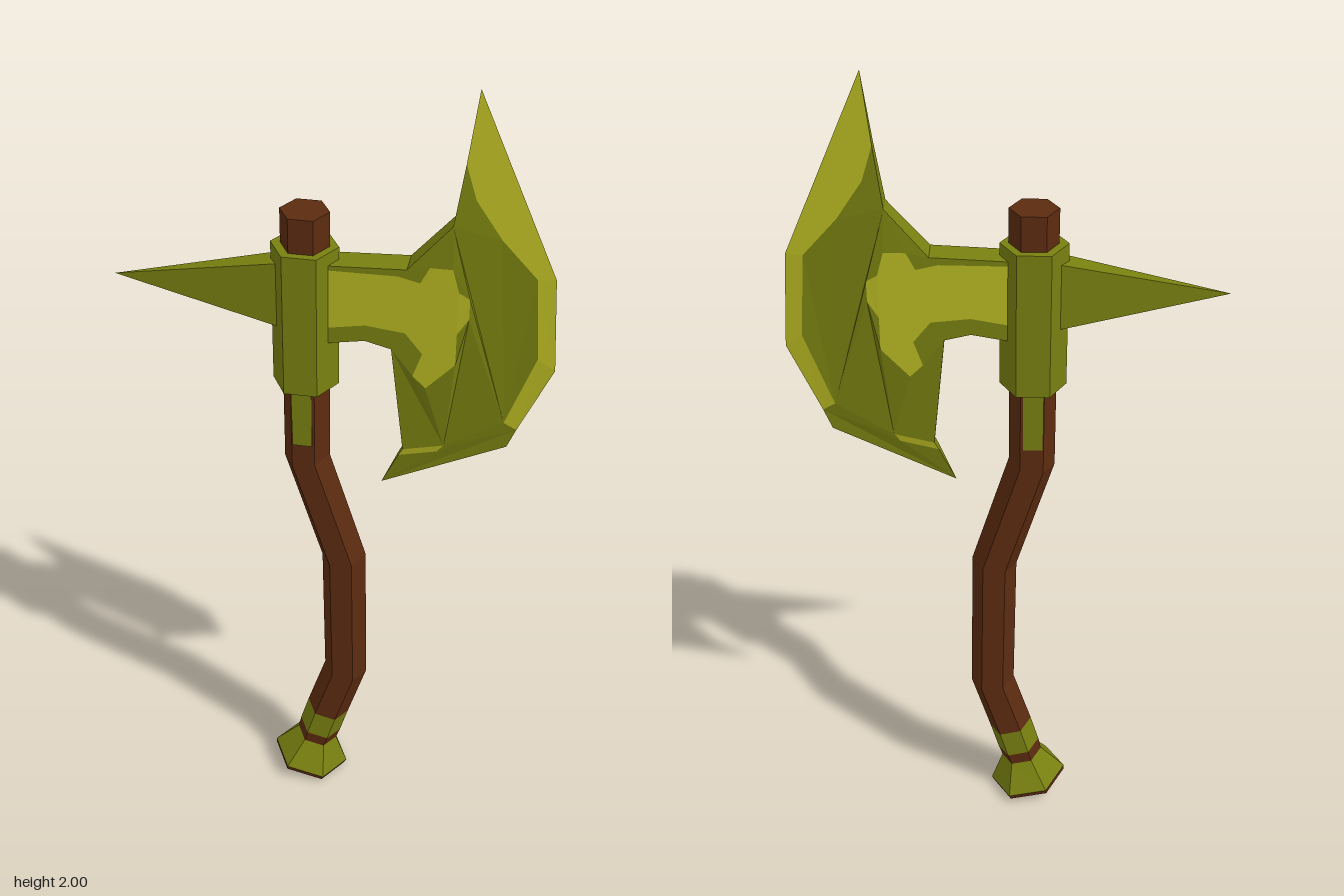
import * as THREE from 'three';

const olive = new THREE.MeshStandardMaterial({ color: 0x788010 });
olive.name = 'olive metal';
const bright = new THREE.MeshStandardMaterial({ color: 0xb6b622 });
bright.name = 'bright metal';
const wood = new THREE.MeshStandardMaterial({ color: 0x5c2b10 });
wood.name = 'brown wood';

function part(parent, name, geometry, material) {
  const mesh = new THREE.Mesh(geometry, material);
  mesh.name = name;
  parent.add(mesh);
  return mesh;
}

// Faceted geometry from a list of triangle corners
function faceted(corners) {
  const g = new THREE.BufferGeometry();
  g.setAttribute('position', new THREE.Float32BufferAttribute(corners.flat(), 3));
  g.computeVertexNormals();
  return g;
}

// Six-sided sweep through rings [x, y, radius, tilt], listed from top to bottom
function hexSweep(rings) {
  const N = 6;
  const at = ([x, y, r, tilt], k) => {
    const a = (k / N) * Math.PI * 2, u = r * Math.cos(a);
    return [x + u * Math.cos(tilt), y + u * Math.sin(tilt), r * Math.sin(a)];
  };
  const tris = [];
  const top = rings[0], bottom = rings[rings.length - 1];
  for (let k = 0; k < N; k++) {
    for (let i = 0; i < rings.length - 1; i++) {
      const a = at(rings[i], k), b = at(rings[i], k + 1);
      const c = at(rings[i + 1], k), d = at(rings[i + 1], k + 1);
      tris.push(a, b, c, b, d, c);
    }
    tris.push([top[0], top[1], 0], at(top, k + 1), at(top, k));
    tris.push([bottom[0], bottom[1], 0], at(bottom, k), at(bottom, k + 1));
  }
  return faceted(tris);
}

// Cutting edge, tip to heel
const edge = [[0.305, 2], [0.49, 1.58], [0.505, 1.35], [0.43, 1.18], [0.41, 1.13], [0.12, 0.99]];

// Half thickness of the blade grows with distance from the cutting edge
function halfThickness(x, y) {
  let nearest = Infinity;
  const p = new THREE.Vector3(x, y, 0), q = new THREE.Vector3();
  for (let i = 0; i < edge.length - 1; i++) {
    const line = new THREE.Line3(new THREE.Vector3(...edge[i]), new THREE.Vector3(...edge[i + 1]));
    line.closestPointToPoint(p, true, q);
    nearest = Math.min(nearest, q.distanceTo(p));
  }
  return Math.min(0.033, nearest * 0.17);
}

// One painted region of the blade, on both cheeks
function cheeks(points) {
  const contour = points.map((p) => new THREE.Vector2(...p));
  if (THREE.ShapeUtils.isClockWise(contour)) contour.reverse();
  const tris = [];
  for (const [a, b, c] of THREE.ShapeUtils.triangulateShape(contour, [])) {
    const front = [a, b, c].map((i) => {
      const { x, y } = contour[i];
      return [x, y, halfThickness(x, y)];
    });
    const back = front.map(([x, y, z]) => [x, y, -z]).reverse();
    tris.push(...front, ...back);
  }
  return faceted(tris);
}

function createBlade() {
  const blade = new THREE.Group();
  blade.name = 'blade';

  const innerTop = [[-0.03, 1.58], [0.17, 1.59], [0.265, 1.7], [0.285, 1.84]];
  const innerBottom = [[0.16, 1.08], [0.17, 1.1], [0.14, 1.385], [0.08, 1.4], [-0.03, 1.38]];
  const neck = [
    [-0.03, 1.42], [0.08, 1.44], [0.17, 1.43], [0.21, 1.38], [0.19, 1.32], [0.22, 1.29],
    [0.285, 1.36], [0.285, 1.44], [0.31, 1.48], [0.31, 1.53], [0.285, 1.545], [0.27, 1.6],
    [0.22, 1.6], [0.2, 1.56], [0.15, 1.572], [-0.03, 1.57],
  ];
  const bevel = [[0.285, 1.84], [0.31, 1.76], [0.37, 1.67], [0.45, 1.58], [0.465, 1.38], [0.4, 1.2], [0.43, 1.18]];
  const streak = [[0.16, 1.08], [0.25, 1.1], [0.265, 1.12], [0.17, 1.1]];

  part(blade, 'bladeCheeks', cheeks([
    ...innerTop, ...bevel.slice(1), ...edge.slice(4), ...streak, ...innerBottom.slice(2), ...neck,
  ]), olive);
  part(blade, 'neckHighlight', cheeks(neck), bright);
  part(blade, 'sharpenedEdge', cheeks([...edge.slice(0, 4), ...bevel.slice(0, -1).reverse()]), bright);
  part(blade, 'heelHighlight', cheeks(streak), bright);

  // Narrow walls along the unsharpened back of the blade
  const walls = [];
  for (const run of [[...innerTop, edge[0]], [edge[5], ...innerBottom]]) {
    for (let i = 0; i < run.length - 1; i++) {
      const [x0, y0] = run[i], [x1, y1] = run[i + 1];
      const z0 = halfThickness(x0, y0), z1 = halfThickness(x1, y1);
      const a = [x0, y0, z0], b = [x0, y0, -z0], c = [x1, y1, z1], d = [x1, y1, -z1];
      walls.push(a, c, b, b, c, d);
    }
  }
  part(blade, 'bladeBack', faceted(walls), olive);
  return blade;
}

export function createModel() {
  const axe = new THREE.Group();
  axe.name = 'axe';

  // Bent wooden handle with metal bands near its foot
  const band = [[-0.011, 0.218, 0.055, -0.25], [-0.032, 0.144, 0.055, -0.25]];
  const collarTop = [-0.041, 0.112, 0.053, -0.24];
  const rim = [-0.058, 0.038, 0.1, -0.23];
  part(axe, 'handle', hexSweep([
    [-0.06, 1.695, 0.056, 0], [-0.06, 1.045, 0.055, 0.15], [0.03, 0.75, 0.055, 0.15],
    [0.036, 0.37, 0.055, -0.13], band[0],
  ]), wood);
  part(axe, 'footBand', hexSweep(band), olive);
  part(axe, 'footGap', hexSweep([band[1], collarTop]), wood);
  part(axe, 'pommel', hexSweep([collarTop, rim]), olive);
  part(axe, 'pommelCap', hexSweep([rim, [-0.061, 0.026, 0.097, -0.23]]), wood);

  // Collar holding the head, with a strap down each face of the handle
  part(axe, 'collar', hexSweep([[-0.061, 1.612, 0.077, 0], [-0.061, 1.258, 0.077, 0]]), olive);
  for (const side of [1, -1]) {
    const strap = part(axe, 'strap', new THREE.BoxGeometry(0.046, 0.16, 0.006), olive);
    strap.position.set(-0.062, 1.185, side * 0.0475);
  }

  // Four-sided rear spike
  const spike = new THREE.ConeGeometry(Math.SQRT2, 0.4, 4, 1).toNonIndexed();
  spike.rotateY(Math.PI / 4);
  spike.rotateZ(Math.PI / 2);
  spike.scale(1, 0.084, 0.031);
  spike.computeVertexNormals();
  part(axe, 'spike', spike, olive).position.set(-0.3, 1.493, 0);

  axe.add(createBlade());
  return axe;
}
